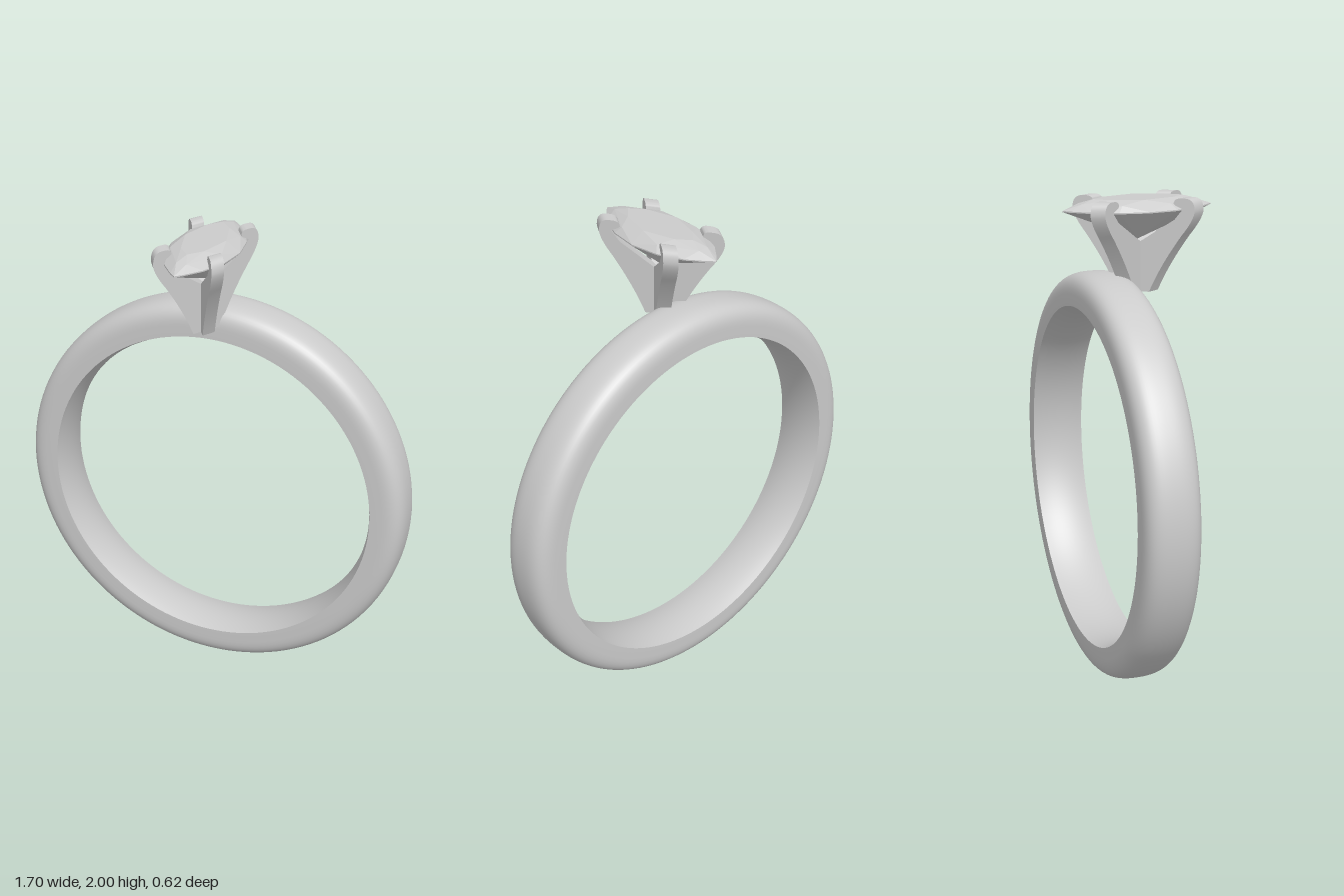
import * as THREE from 'three';
import { toCreasedNormals } from 'three/addons/utils/BufferGeometryUtils.js';
import { ConvexGeometry } from 'three/addons/geometries/ConvexGeometry.js';

const metal = new THREE.MeshStandardMaterial({ color: 0xcccccc });
const stone = new THREE.MeshStandardMaterial({ color: 0xcccccc, flatShading: true });

// Band: domed outside, slightly bowed inside, flat sides
function band() {
  const R = 0.8475, h = 0.113;
  const section = new THREE.Path();
  section.moveTo(0.71, -h);
  section.lineTo(0.76, -h);
  section.bezierCurveTo(0.84, -h, R, -0.06, R, 0);
  section.bezierCurveTo(R, 0.06, 0.84, h, 0.76, h);
  section.lineTo(0.71, h);
  section.quadraticCurveTo(0.67, 0, 0.71, -h);
  const geo = new THREE.LatheGeometry(section.getPoints(12), 128);
  geo.rotateX(Math.PI / 2);
  const mesh = new THREE.Mesh(toCreasedNormals(geo, 0.6), metal);
  mesh.name = 'band';
  mesh.position.set(0, R, -0.138);
  return mesh;
}

// Prong: fin reaching the centre of the setting, hooked over the stone
function prong(sx, sz) {
  const s = new THREE.Shape();
  s.moveTo(0, 1.62);
  s.lineTo(0.035, 1.62);
  s.quadraticCurveTo(0.06, 1.73, 0.105, 1.85);
  s.quadraticCurveTo(0.132, 1.915, 0.134, 1.95);
  s.quadraticCurveTo(0.134, 2, 0.112, 2);
  s.lineTo(0.102, 2);
  s.quadraticCurveTo(0.088, 1.998, 0.088, 1.975);
  s.lineTo(0.108, 1.957);
  s.lineTo(0.09, 1.915);
  s.lineTo(0, 1.805);
  const geo = new THREE.ExtrudeGeometry(s, { depth: 2, bevelEnabled: false, curveSegments: 8 });
  geo.translate(0, 0, -1);
  // Lay the fin along the diagonal, with its thickness along the other diagonal
  geo.applyMatrix4(new THREE.Matrix4().set(
    sx, 0, -sz * 0.0155, 0,
    0, 1, 0, 0,
    sz * 1.57, 0, sx * 0.025, 0,
    0, 0, 0, 1));
  const mesh = new THREE.Mesh(toCreasedNormals(geo, 0.5), metal);
  mesh.name = (sz > 0 ? 'front' : 'back') + (sx > 0 ? 'Left' : 'Right') + 'Prong';
  return mesh;
}

// Stone: pointed-oval outline built from two arcs, faceted crown and pavilion
function gem() {
  const a = 0.312, b = 0.143, R = (a * a + b * b) / (2 * b);
  const points = [new THREE.Vector3(0, 1.83, 0)];
  const ring = (count, offset, scale, y) => {
    for (let i = 0; i < count; i++) {
      const t = ((i + offset) / count) * Math.PI * 2;
      const z = a * Math.cos(t);
      const x = Math.sign(Math.sin(t)) * (Math.sqrt(R * R - z * z) - R + b);
      points.push(new THREE.Vector3(x * scale, y, z * scale));
    }
  };
  ring(16, 0, 1, 1.952);
  ring(16, 0, 1, 1.957);
  ring(8, 0.5, 0.84, 1.981);
  ring(8, 0, 0.6, 1.997);
  const mesh = new THREE.Mesh(new ConvexGeometry(points), stone);
  mesh.name = 'stone';
  return mesh;
}

export function createModel() {
  const model = new THREE.Group();
  model.name = 'ring';
  const setting = new THREE.Group();
  setting.name = 'setting';
  for (const sx of [1, -1]) for (const sz of [1, -1]) setting.add(prong(sx, sz));
  model.add(band(), setting, gem());
  return model;
}
